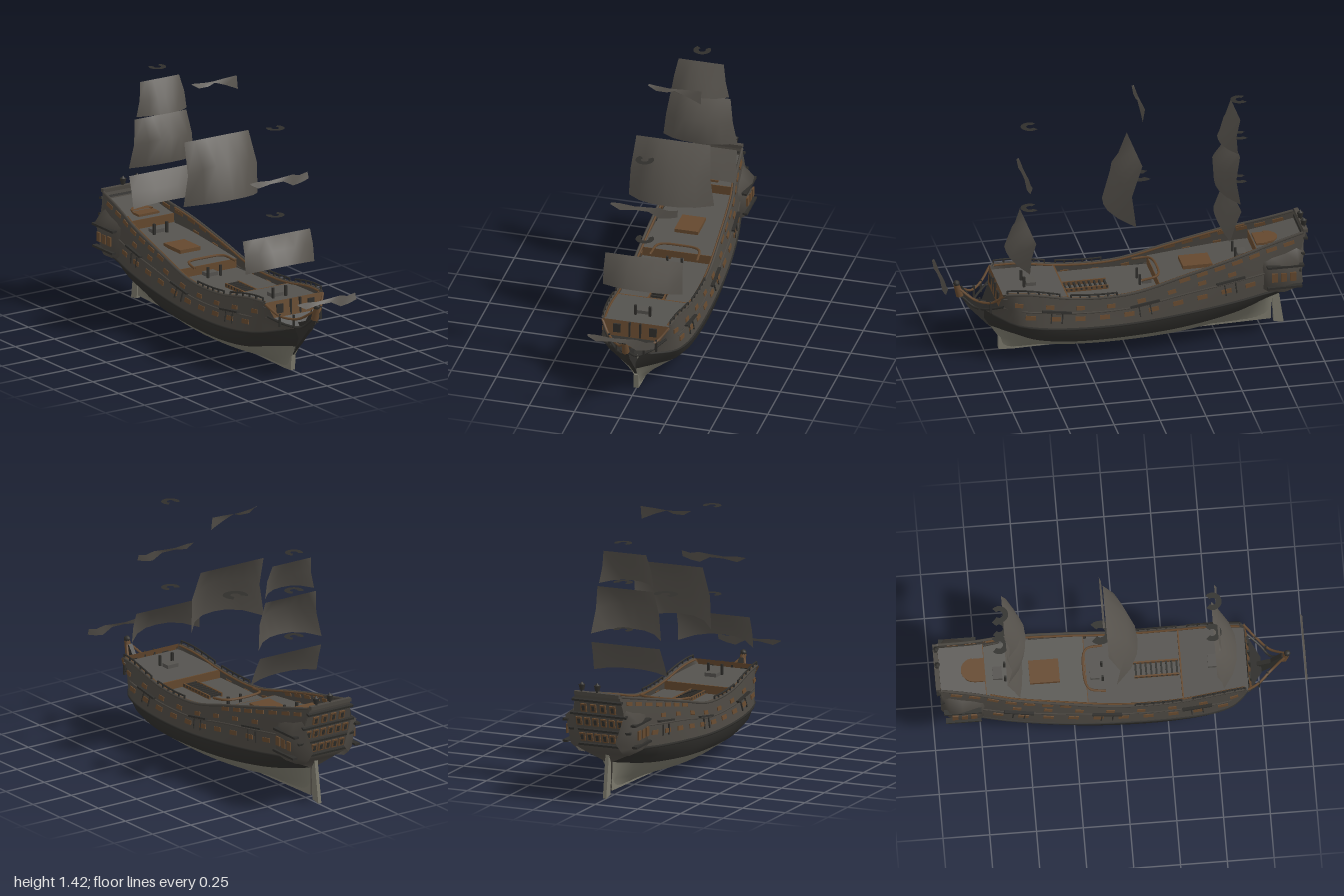
import * as THREE from 'three';

const mat = (name, color) => {
  const m = new THREE.MeshStandardMaterial({ color, side: THREE.DoubleSide });
  m.name = name;
  return m;
};
const V = (x, y, z) => new THREE.Vector3(x, y, z);

export function createModel() {
  const ship = new THREE.Group();
  ship.name = 'sailingShip';
  const M = {
    sail: mat('sailCloth', 0x56524c), hull: mat('hullPlanks', 0x4a4640), deck: mat('deckPlanks', 0x54524e),
    dark: mat('darkTimber', 0x2f2e2b), bottom: mat('hullBottom', 0x79776a), brown: mat('brownTimber', 0x64482e),
  };
  const add = (name, geo, m, x = 0, y = 0, z = 0) => {
    const mesh = new THREE.Mesh(geo, m);
    mesh.name = name;
    mesh.position.set(x, y, z);
    ship.add(mesh);
    return mesh;
  };
  const box = (name, m, w, h, d, x, y, z) => add(name, new THREE.BoxGeometry(w, h, d), m, x, y, z);
  const tube = (name, m, pts, r = 0.006) =>
    add(name, new THREE.TubeGeometry(new THREE.CatmullRomCurve3(pts), 28, r, 5), m);

  // Surface through a grid of points
  const loft = (name, m, rows) => {
    const n = rows[0].length, pos = [], idx = [];
    rows.forEach(r => r.forEach(p => pos.push(p.x, p.y, p.z)));
    for (let i = 0; i < rows.length - 1; i++) for (let j = 0; j < n - 1; j++) {
      const a = i * n + j, b = a + n;
      idx.push(a, a + 1, b, b, a + 1, b + 1);
    }
    const g = new THREE.BufferGeometry();
    g.setAttribute('position', new THREE.Float32BufferAttribute(pos, 3));
    g.setIndex(idx);
    g.computeVertexNormals();
    return add(name, g, m);
  };
  // Flat profile in the z-y plane, given thickness across x
  const profile = (name, m, pts, w) => {
    const g = new THREE.ExtrudeGeometry(new THREE.Shape(pts.map(p => new THREE.Vector2(-p[0], p[1]))),
      { depth: w, bevelEnabled: false });
    g.translate(0, 0, -w / 2).rotateY(Math.PI / 2);
    return add(name, g, m);
  };

  // Hull stations, stern to bow: z, half-widths and heights from keel to sheer
  const stations = [
    [[-.81, -.81, -.82, -.85, -.9, -.935, -.975], [.01, .012, .02, .12, .155, .16, .13], [.04, .1, .2, .25, .29, .42, .6]],
    [-.77, [.01, .016, .06, .15, .175, .175, .15], [.04, .1, .19, .24, .28, .4, .55]],
    [-.6, [.01, .04, .13, .19, .205, .2, .18], [.042, .08, .16, .21, .26, .38, .51]],
    [-.3, [.01, .1, .19, .225, .235, .22, .2], [.036, .06, .13, .18, .23, .34, .437]],
    [0, [.01, .12, .2, .238, .243, .225, .21], [.03, .05, .11, .155, .205, .29, .367]],
    [.3, [.01, .11, .2, .235, .243, .225, .21], [.022, .05, .11, .155, .205, .29, .37]],
    [.5, [.01, .07, .17, .215, .23, .215, .2], [.015, .055, .125, .17, .22, .31, .405]],
    [.61, [.01, .03, .11, .165, .197, .2, .19], [.012, .07, .145, .19, .235, .32, .418]],
    [[.66, .67, .72, .755, .76, .7, .685], [.01, .01, .01, .02, .045, .14, .183], [.012, .08, .155, .21, .27, .33, .418]],
  ];
  const curves = [0, 1, 2, 3, 4, 5, 6].map(j => new THREE.CatmullRomCurve3(
    stations.map(([z, w, y]) => V(w[j], y[j], Array.isArray(z) ? z[j] : z))));
  const at = (z, j) => {
    let lo = 0, hi = 1;
    for (let k = 0; k < 22; k++) {
      const m = (lo + hi) / 2;
      if (curves[j].getPoint(m).z < z) lo = m; else hi = m;
    }
    return curves[j].getPoint(lo);
  };
  const flip = (p, s) => V(p.x * s, p.y, p.z);
  const line = (j, s) => curves[j].getPoints(56).map(p => flip(p, s));
  const range = (a, b, n) => Array.from({ length: n + 1 }, (_, i) => a + (b - a) * i / n);

  for (const s of [1, -1]) {
    const order = r => (s > 0 ? r : r.reverse());
    loft('hullBottom', M.bottom, order([line(0, s), line(1, s), line(2, s)]));
    loft('lowerWale', M.dark, order([line(2, s), line(3, s), line(4, s)]));
    loft('topside', M.hull, order([line(4, s), line(5, s), line(6, s)]));
    // Mouldings and rails along the side
    tube('wale', M.dark, range(-.85, .72, 14).map(z => flip(at(z, 4), s)), .007);
    tube('moulding', M.hull, range(-.9, .68, 14).map(z => flip(at(z, 5), s)), .005);
    tube('sheerRail', M.hull, range(-.96, .67, 14).map(z => flip(at(z, 6), s)), .008);
    tube('innerRail', M.brown, range(-.7, .66, 14).map(z => flip(at(z, 6), s).add(V(-s * .012, -.002, 0))), .006);
  }
  const cap = (name, m, end, from, to) => loft(name, m, [1, -1].map(s =>
    curves.slice(from, to).map(c => flip(c.getPoint(end), s))));
  cap('transom', M.hull, 0, 0, 7);
  cap('beakFloor', M.dark, 1, 4, 6);
  cap('beakheadBulkhead', M.brown, 1, 5, 7);

  // Thin plates lying on both sides of the hull
  const plate = (name, m, z, j, f, len, h, thick = .0098) => {
    for (const s of [1, -1]) {
      const pt = q => at(q, j).lerp(at(q, j + 1), f);
      const up = flip(at(z, j + 1).sub(at(z, j)), s).normalize();
      const tz = flip(pt(z + .02).sub(pt(z - .02)), s).normalize();
      const n = up.clone().cross(tz).normalize();
      const p = add(name, new THREE.BoxGeometry(thick, h, len), m);
      p.quaternion.setFromRotationMatrix(new THREE.Matrix4().makeBasis(n, tz.clone().cross(n), tz));
      p.position.copy(flip(pt(z), s));
    }
  };
  range(-.66, .54, 9).forEach(z => plate('gunPort', M.brown, z, 4, .65, .055, .024));
  range(-.56, .6, 7).forEach(z => plate('upperPort', M.brown, z, 5, .35, .045, .022));
  range(-.88, -.3, 6).forEach(z => plate('quarterPanel', M.brown, z, 5, .8, .06, .02));
  for (const z of [.4, -.08, -.55]) {
    plate('channel', M.dark, z, 5, .1, .16, .01, .034);
    for (const d of [-.03, .03]) plate('chainPlate', M.dark, z + d, 4, .7, .006, .06, .014);
  }

  // Decks with bulkheads at each break
  const deck = (name, z0, z1, y0, y1) => loft(name, M.deck, [-1, 1].map(s => range(z0, z1, 10).map((z, i) =>
    V(s * (at(z, 6).x - .004), y0 + (y1 - y0) * i / 10, z))));
  deck('poopDeck', -.96, -.72, .555, .495);
  deck('quarterDeck', -.72, -.18, .445, .375);
  deck('waistDeck', -.18, .33, .325, .325);
  deck('forecastleDeck', .33, .68, .37, .39);
  box('poopBulkhead', M.brown, .31, .05, .008, 0, .47, -.72);
  box('quarterBulkhead', M.brown, .4, .05, .008, 0, .35, -.18);
  box('forecastleBulkhead', M.brown, .4, .045, .008, 0, .348, .33);

  // Deck fittings
  box('hatch', M.brown, .13, .02, .16, 0, .418, -.4);
  add('poopPanel', new THREE.CylinderGeometry(.065, .065, .012, 16, 1, false, Math.PI / 2, Math.PI), M.brown, 0, .522, -.78);
  box('poopPanelBase', M.brown, .13, .012, .06, 0, .516, -.75);
  for (const x of [-.04, .04]) box('gratingSide', M.brown, .008, .022, .24, x, .336, .2);
  range(.09, .31, 8).forEach(z => box('gratingBar', M.dark, .09, .012, .01, 0, .338, z));
  tube('quarterRail', M.brown, [V(-.13, .4, -.08), V(-.11, .41, -.17), V(0, .41, -.19), V(.11, .41, -.17), V(.13, .4, -.08)], .007);
  for (const [z, y] of [[.5, .38], [-.13, .33], [-.65, .436]]) {
    box('mastStep', M.deck, .07, .02, .05, 0, y + .01, z);
    for (const x of [-.04, .04]) box('bitt', M.dark, .012, .06, .012, x, y + .03, z + .04);
  }
  for (const s of [1, -1]) {
    for (const [z0, z1] of [[.07, .32], [.38, .66]]) {
      const top = z => flip(at(z, 6), s).add(V(0, .022, 0));
      tube('handrail', M.dark, range(z0, z1, 4).map(top), .005);
      range(z0, z1, 5).forEach(z => { const p = top(z); box('railPost', M.dark, .008, .024, .008, p.x, p.y - .011, z); });
    }
    // Quarter gallery
    loft('quarterGallery', M.hull, [
      [-.72, .17, .31, .165, .43], [-.76, .2, .3, .2, .43], [-.85, .205, .29, .215, .44], [-.92, .18, .31, .21, .46], [-.96, .1, .34, .15, .49],
    ].map(([z, x0, y0, x1, y1]) => [V(s * .13, y0 - .04, z), V(s * x0, y0, z), V(s * x1, y1, z), V(s * .14, y1 + .06, z)]));
    for (const z of [-.79, -.84, -.89]) box('galleryWindow', M.brown, .009, .05, .032, s * .21, .38, z);
    box('gallerySill', M.dark, .03, .012, .19, s * .203, .32, -.845);
    box('galleryCornice', M.dark, .03, .012, .2, s * .2, .44, -.85);
    // Head rails sweeping to the figurehead
    tube('upperHeadRail', M.brown, [V(s * .185, .41, .68), V(s * .13, .35, .74), V(s * .06, .34, .81), V(s * .012, .39, .885)], .007);
    tube('lowerHeadRail', M.dark, [V(s * .17, .34, .68), V(s * .1, .3, .76), V(s * .04, .29, .81), V(s * .01, .34, .87)], .007);
    for (const [x, z] of [[.13, .74], [.075, .79]]) box('headTimber', M.dark, .01, .07, .01, s * x, .325, z);
    box('bulkheadDoor', M.dark, .04, .05, .009, s * .1, .375, .694);
    box('bulkheadPost', M.dark, .01, .085, .012, s * .03, .375, .694);
  }

  // Stern windows and lanterns
  const onStern = (name, m, w, h, x, y, t = .009) => {
    box(name, m, w, h, t, x, y, -.9 - (y - .29) * .246 - .005).rotation.x = -.24;
  };
  for (const [y, n, w] of [[.35, 3, .11], [.44, 3, .12], [.52, 2, .085]])
    range(-w, w, n * 2 - 1).forEach(x => {
      onStern('sternWindowFrame', M.brown, .034, .046, x, y);
      onStern('sternWindowPane', M.dark, .016, .03, x, y, .014);
    });
  for (const [y, w] of [[.31, .34], [.395, .36], [.485, .33], [.565, .29]]) onStern('sternMoulding', M.dark, w, .012, 0, y, .022);
  box('taffrail', M.hull, .26, .02, .025, 0, .602, -.975);
  for (const x of [0, .09]) {
    box('lanternBracket', M.dark, .008, .04, .008, x, .615, -.975);
    add('lantern', new THREE.CylinderGeometry(.018, .012, .03, 6), M.dark, x, .635, -.972);
    add('lanternCap', new THREE.ConeGeometry(.014, .016, 6), M.dark, x, .657, -.972);
  }

  // Keel, rudder, stem knee and figurehead
  profile('keel', M.bottom, [[.675, .09], [.672, .01], [.6, .005], [-.81, .04], [-.81, .14], [-.6, .06], [.5, .05]], .026);
  profile('rudder', M.bottom, [[-.815, .22], [-.845, .25], [-.88, .01], [-.825, .02]], .02);
  profile('beakKnee', M.dark, [[.66, .09], [.74, .17], [.84, .28], [.89, .37], [.87, .4], [.81, .32], [.7, .28]], .024);
  add('figureheadBody', new THREE.CylinderGeometry(.016, .022, .07, 7), M.brown, 0, .38, .89).rotation.x = .3;
  add('figureheadHead', new THREE.SphereGeometry(.018, 8, 6), M.dark, 0, .42, .9);

  // Sails: [z, y] for the head, then middle and foot at the centre and at the edge
  const sail = (name, w0, w1, head, midC, footC, midE, footE) => {
    const rows = [[head, head], [midC, midE], [footC, footE]];
    loft(name, M.sail, rows.map(([c, e], i) => range(-1, 1, 6).map(u => {
      const k = Math.abs(u) ** 2.5, mix = d => c[d] + (e[d] - c[d]) * k;
      return V(u * (w0 + (w1 - w0) * i / 2), mix(1), mix(0));
    })));
  };
  sail('foreSail', .215, .22, [.51, .72], [.585, .66], [.63, .58], [.535, .64], [.545, .545]);
  sail('mainSail', .205, .236, [-.07, 1.12], [.045, 1], [.1, .81], [-.01, .95], [-.03, .775]);
  sail('mizzenLowerSail', .2, .215, [-.61, .79], [-.55, .71], [-.52, .645], [-.575, .71], [-.545, .625]);
  sail('mizzenMiddleSail', .165, .205, [-.61, 1.1], [-.5, 1], [-.51, .86], [-.585, .97], [-.605, .835]);
  sail('mizzenTopSail', .125, .16, [-.62, 1.3], [-.56, 1.21], [-.525, 1.13], [-.595, 1.21], [-.6, 1.115]);

  // Narrow furled sails: [x, top, bottom]
  const furled = (name, z, dy, pts) => loft(name, M.sail,
    [1, 2].map(k => pts.map(p => V(p[0], p[k] + dy, z + (k - 1.5) * .012))));
  const wave = [[-.18, 1.04, 1.035], [-.13, 1.042, 1.008], [-.05, 1.035, 1.02], [.03, 1.04, 1.02], [.09, 1.045, .988], [.14, 1.035, .995], [.19, 1.045, 1.01]];
  furled('foreTopSail', .53, 0, wave);
  furled('spritSail', .99, -.555, wave);
  furled('mainTopSail', -.09, 0, [[-.145, 1.43, 1.427], [-.1, 1.425, 1.4], [-.04, 1.42, 1.4], [0, 1.42, 1.415], [.07, 1.425, 1.39], [.147, 1.428, 1.355]]);

  // Mast tops: open horizontal rings
  for (const [y, z, r] of [[.83, .5, .05], [1.315, .5, .05], [.96, -.1, .068], [.885, -.64, .052], [1.145, -.64, .052], [1.36, -.64, .048]])
    add('mastTop', new THREE.RingGeometry(r * .4, r, 14, 1, Math.PI * .75, Math.PI * 1.5), M.dark, 0, y, z).rotation.x = -Math.PI / 2;
  return ship;
}
